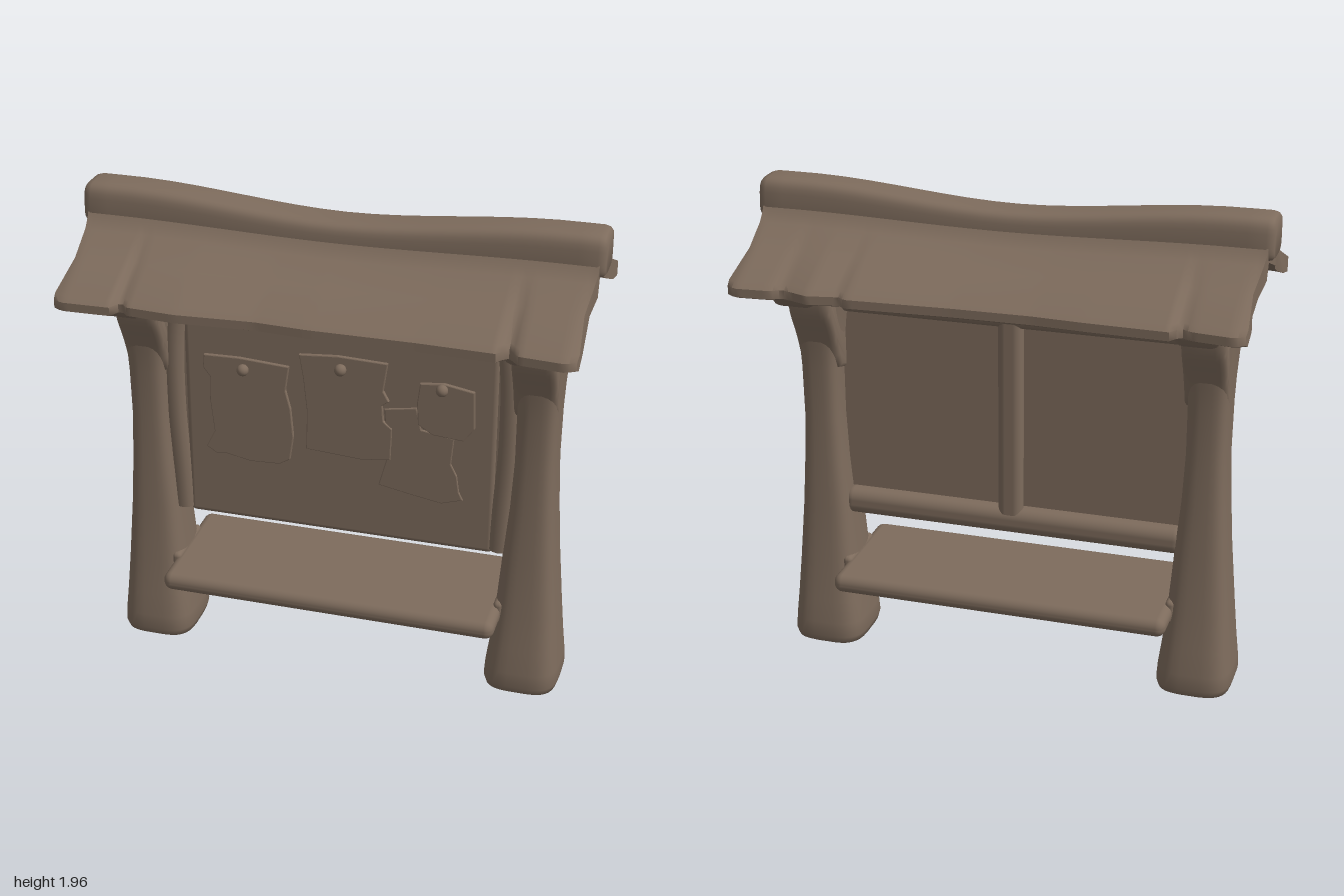
import * as THREE from 'three';
import { toCreasedNormals } from 'three/addons/utils/BufferGeometryUtils.js';
import { RoundedBoxGeometry } from 'three/addons/geometries/RoundedBoxGeometry.js';

const wood = new THREE.MeshStandardMaterial({ color: 0x7d6b5c });
wood.name = 'weathered wood';

// Skin a list of rings (arrays of [x, y, z], even count) and close both ends.
function loft(rings, crease = 0.8) {
  const n = rings[0].length, last = (rings.length - 1) * n, index = [];
  for (let i = 0; i < rings.length - 1; i++) {
    for (let j = 0; j < n; j++) {
      const a = i * n + j, b = i * n + (j + 1) % n;
      index.push(a, a + n, b, b, a + n, b + n);
    }
  }
  for (let j = 0; j < n / 2 - 1; j++) {
    const p = j, q = j + 1, r = n - 1 - j, s = n - 2 - j;
    index.push(p, q, r, q, s, r);
    index.push(last + p, last + r, last + q, last + q, last + r, last + s);
  }
  const geo = new THREE.BufferGeometry();
  geo.setAttribute('position', new THREE.Float32BufferAttribute(rings.flat(2), 3));
  geo.setIndex(index);
  return toCreasedNormals(geo, crease);
}

// Linear lookup in a sorted list of [x, value].
function lookup(pts, x) {
  if (x <= pts[0][0]) return pts[0][1];
  for (let i = 1; i < pts.length; i++) {
    const [x0, v0] = pts[i - 1], [x1, v1] = pts[i];
    if (x <= x1) return v0 + (v1 - v0) * (x - x0) / (x1 - x0);
  }
  return pts[pts.length - 1][1];
}

// Rounded-square loop, unit half size.
const roundLoop = (n, power) => Array.from({ length: n }, (_, i) => {
  const a = (i + 0.5) / n * Math.PI * 2, c = Math.cos(a), s = Math.sin(a);
  return [Math.sign(c) * Math.abs(c) ** power, Math.sign(s) * Math.abs(s) ** power];
});

const sag = x => 1 - THREE.MathUtils.smoothstep(Math.abs(x), 0, 0.85);

export function createModel() {
  const model = new THREE.Group();
  model.name = 'noticeBoard';
  const add = (name, geo, x = 0, y = 0, z = 0) => {
    const mesh = new THREE.Mesh(geo, wood);
    mesh.name = name;
    mesh.position.set(x, y, z);
    model.add(mesh);
    return mesh;
  };
  const block = (name, w, h, d, r, x, y, z) =>
    add(name, new RoundedBoxGeometry(w, h, d, 4, r), x, y, z);

  // Flared posts: height, inner x, outer x, half depth
  const postProfile = [
    [0, 0.645, 0.9, 0.15], [0.012, 0.628, 0.917, 0.168], [0.04, 0.62, 0.926, 0.176],
    [0.1, 0.624, 0.922, 0.172], [0.2, 0.637, 0.912, 0.16], [0.35, 0.653, 0.9, 0.14],
    [0.6, 0.672, 0.88, 0.122], [0.8, 0.69, 0.868, 0.112], [1, 0.7, 0.86, 0.106],
    [1.2, 0.7, 0.862, 0.109], [1.3, 0.694, 0.866, 0.117], [1.4, 0.684, 0.873, 0.13],
    [1.5, 0.67, 0.88, 0.136], [1.58, 0.655, 0.888, 0.136], [1.68, 0.65, 0.892, 0.136],
    [1.77, 0.65, 0.892, 0.06],
  ];
  for (const side of [1, -1]) {
    const label = side > 0 ? 'left' : 'right';
    add(label + 'Post', loft(postProfile.map(([y, a, b, d]) =>
      roundLoop(32, 0.55).map(([u, v]) => [side * (a + b) / 2 + u * (b - a) / 2, y, v * d]))));

    // Curved roof arms growing out of the post, with a small opening on each side
    const s = new THREE.Shape();
    s.moveTo(0, 1.2);
    s.lineTo(0.06, 1.22);
    s.bezierCurveTo(0.12, 1.42, 0.165, 1.41, 0.175, 1.53);
    s.quadraticCurveTo(0.25, 1.55, 0.31, 1.555);
    s.lineTo(0.355, 1.61);
    s.lineTo(0, 1.77);
    s.lineTo(-0.355, 1.61);
    s.lineTo(-0.31, 1.555);
    s.quadraticCurveTo(-0.25, 1.55, -0.175, 1.53);
    s.bezierCurveTo(-0.165, 1.41, -0.12, 1.42, -0.06, 1.22);
    for (const k of [1, -1]) {
      const hole = new THREE.Path();
      hole.absellipse(k * 0.158, 1.56, 0.04, 0.038, 0, Math.PI * 2, true);
      s.holes.push(hole);
    }
    const arm = new THREE.ExtrudeGeometry(s, {
      depth: 0.09, bevelThickness: 0.04, bevelSize: 0.022, bevelSegments: 4, curveSegments: 12,
    });
    arm.translate(0, 0, -0.045).rotateY(Math.PI / 2);
    add(label + 'Bracket', toCreasedNormals(arm, 0.9), side * 0.775);
  }

  // Roof slab with ragged eaves: [x, reach]
  const frontEave = [[-0.97, 0.465], [-0.94, 0.485], [-0.75, 0.48], [-0.72, 0.42], [-0.7, 0.46],
    [-0.5, 0.475], [-0.2, 0.455], [0, 0.467], [0.4, 0.465], [0.7, 0.475], [0.72, 0.42],
    [0.77, 0.475], [0.94, 0.49], [0.97, 0.465]];
  const backEave = [[-0.97, 0.46], [-0.94, 0.485], [-0.78, 0.465], [-0.74, 0.44], [-0.71, 0.49],
    [-0.4, 0.48], [-0.2, 0.467], [0.1, 0.47], [0.5, 0.49], [0.53, 0.468], [0.65, 0.49],
    [0.76, 0.45], [0.8, 0.475], [0.94, 0.485], [0.97, 0.46]];
  // Section: [share of reach, height]; the inner points sweep up to the ridge beam
  const top = [[1, 1.643], [0.95, 1.66], [0.6, 1.737], [0.3, 1.8], [0.22, 1.83], [0.17, 1.87], [0, 1.88]];
  const under = [[0, 1.77], [0.2, 1.73], [0.4, 1.69], [0.6, 1.65], [0.75, 1.622], [0.95, 1.6], [1, 1.61]];
  const roofRings = [];
  for (let i = 0; i <= 97; i++) {
    const x = -0.97 + 0.02 * i;
    const f = lookup(frontEave, x), b = lookup(backEave, x);
    const pt = (t, y, reach) =>
      [x + Math.sign(x) * (Math.abs(x) > 0.95 ? 0.01 * Math.sin(t * 9) : 0),
        y - 0.025 * sag(x) * (1 - t), t * (t < 0.4 ? 0.475 : reach)  * Math.sign(reach) * (t < 0.4 ? 1 : Math.sign(reach))];
    roofRings.push([
      ...top.map(([t, y]) => pt(t, y, f)),
      ...top.slice(0, -1).reverse().map(([t, y]) => pt(t, y, -b)),
      ...under.slice(1).reverse().map(([t, y]) => pt(t, y, -b)),
      ...under.map(([t, y]) => pt(t, y, f)),
    ]);
  }
  add('roof', loft(roofRings, 0.9));

  // Sagging ridge beam
  const ridgeX = [-1, -0.99, -0.97];
  for (let i = -9; i <= 9; i++) ridgeX.push(i / 10);
  ridgeX.push(0.97, 0.99, 1);
  add('ridgeBeam', loft(ridgeX.map(x => {
    const k = Math.abs(x) > 0.995 ? 0.82 : Math.abs(x) > 0.98 ? 0.94 : 1;
    const hi = 1.957 - 0.057 * sag(x), lo = 1.79 - 0.02 * sag(x);
    return roundLoop(28, 0.5).map(([u, v]) =>
      [x, (hi + lo) / 2 + v * k * (hi - lo) / 2, u * k * (0.093 - 0.006 * v)]);
  })));

  // Purlins under the eaves
  for (const z of [0.335, -0.335])
    block(z > 0 ? 'frontPurlin' : 'backPurlin', 1.76, 0.075, 0.09, 0.034, 0, 1.602, z);

  // Board, front sheet and rear frame
  block('boardPanel', 1.44, 0.92, 0.06, 0.02, 0, 1.05, 0.015);
  block('boardSheet', 1.26, 0.96, 0.05, 0.022, 0, 1.05, 0.03);
  block('bottomRail', 1.42, 0.11, 0.12, 0.045, 0, 0.62, -0.015);
  block('topRail', 1.42, 0.1, 0.12, 0.045, 0, 1.482, -0.015);
  block('backMullion', 0.1, 0.9, 0.07, 0.033, 0, 1.05, -0.035);
  for (const side of [1, -1]) {
    const path = new THREE.CatmullRomCurve3([[0.655, 0.59], [0.66, 0.75], [0.675, 1.05],
      [0.67, 1.35], [0.65, 1.51]].map(([x, y]) => new THREE.Vector3(side * x, y, 0.03)));
    add('sideStile', new THREE.TubeGeometry(path, 24, 0.045, 12));
    const clip = add('cornerClip', new THREE.CapsuleGeometry(0.022, 0.09, 4, 10),
      side * 0.57, 1.485, 0.055);
    clip.rotation.z = side * 1.15;
  }

  // Torn paper notices
  const notices = [
    [[-0.54, 1.29], [-0.4, 1.293], [-0.2, 1.28], [-0.215, 1.18], [-0.195, 1.1], [-0.185, 0.98],
      [-0.2, 0.88], [-0.24, 0.855], [-0.36, 0.85], [-0.46, 0.87], [-0.5, 0.865], [-0.54, 0.89],
      [-0.505, 0.96], [-0.52, 1.1], [-0.515, 1.2], [-0.545, 1.24]],
    [[-0.15, 1.34], [0, 1.352], [0.195, 1.345], [0.178, 1.23], [0.2, 1.19], [0.175, 1.17],
      [0.18, 1.1], [0.215, 1.07], [0.21, 0.94], [0.1, 0.925], [-0.125, 0.94], [-0.12, 1.1],
      [-0.135, 1.25]],
    [[0.33, 1.28], [0.42, 1.29], [0.535, 1.27], [0.54, 1.12], [0.5, 1.065], [0.38, 1.075],
      [0.325, 1.11], [0.32, 1.2]],
    [[0.19, 1.15], [0.31, 1.17], [0.33, 1.08], [0.46, 1.06], [0.45, 0.95], [0.475, 0.9],
      [0.485, 0.83], [0.5, 0.8], [0.42, 0.775], [0.3, 0.795], [0.17, 0.82], [0.205, 0.95]],
  ];
  notices.forEach((pts, i) => {
    const shape = new THREE.Shape(pts.map(p => new THREE.Vector2(...p)));
    add('notice' + (i + 1), new THREE.ExtrudeGeometry(shape, {
      depth: i === 3 ? 0.006 : 0.012, bevelThickness: 0.004, bevelSize: 0.004, bevelSegments: 2,
    }), 0, 0, 0.053);
  });
  for (const [x, y] of [[-0.38, 1.252], [0.015, 1.305], [0.415, 1.272]])
    add('pin', new THREE.SphereGeometry(0.024, 14, 10), x, y, 0.08);

  // Bench plank and its end collars
  block('bench', 1.37, 0.078, 0.545, 0.036, 0, 0.34, 0);
  for (const x of [0.675, -0.675]) block('benchCollar', 0.04, 0.1, 0.26, 0.018, x, 0.345, 0);

  return model;
}
